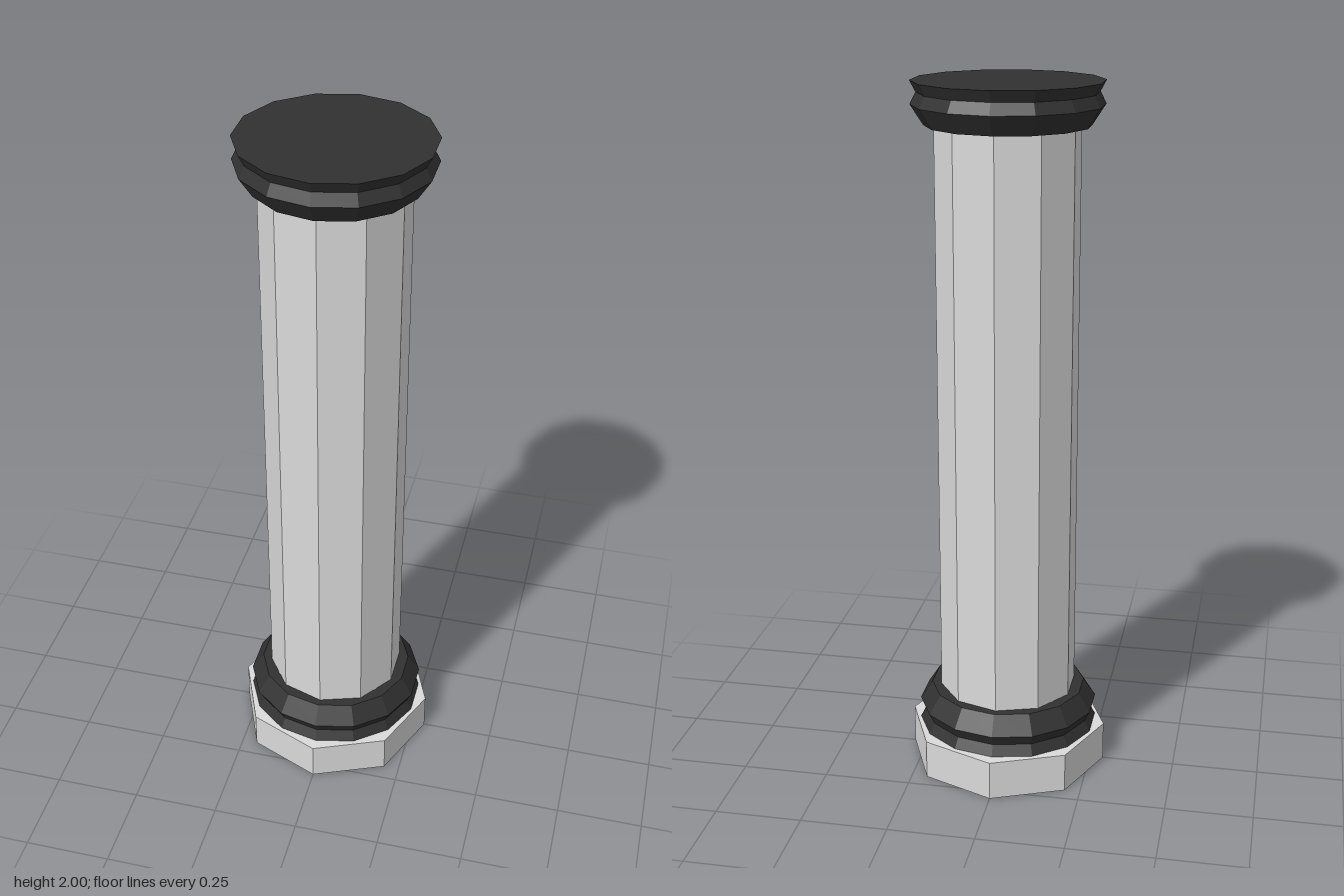
import * as THREE from 'three';

const stone = new THREE.MeshStandardMaterial({ name: 'paleStone', color: 0xdadada, flatShading: true, side: THREE.DoubleSide });
const dark = new THREE.MeshStandardMaterial({ name: 'darkMoulding', color: 0x313131, flatShading: true });

const BASE_TOP = 0.115;
const RING_HEIGHT = 0.118;

function part(name, geometry, material, y = 0) {
  const mesh = new THREE.Mesh(geometry, material);
  mesh.name = name;
  mesh.position.y = y;
  return mesh;
}

// Fourteen-sided moulding: narrow neck, bulge, waist, flared rim, flat cap
function mouldingGeometry() {
  const profile = [[0.19, 0], [0.222, 0], [0.257, 0.055], [0.241, 0.087], [0.257, RING_HEIGHT], [0, RING_HEIGHT]];
  const geometry = new THREE.LatheGeometry(profile.map(([r, y]) => new THREE.Vector2(r, y)), 14);
  return geometry.scale(1.02, 1, 1);
}

export function createModel() {
  const column = new THREE.Group();
  column.name = 'column';

  // Octagonal plinth, hollow underneath
  const plinth = new THREE.Group();
  plinth.name = 'plinth';
  plinth.add(
    part('plinthSides', new THREE.CylinderGeometry(0.29, 0.29, BASE_TOP, 8, 1, true), stone, BASE_TOP / 2),
    part('plinthTop', new THREE.CircleGeometry(0.29, 8).rotateX(-Math.PI / 2), stone, BASE_TOP),
  );
  column.add(plinth);

  // Ten-sided shaft
  const bottom = BASE_TOP + 0.01, top = 1.99;
  column.add(part('shaft', new THREE.CylinderGeometry(0.2, 0.2, top - bottom, 10, 1, true), stone, (top + bottom) / 2));

  // Matching mouldings, the lower one upside down
  const moulding = mouldingGeometry();
  column.add(part('topMoulding', moulding, dark, 2 - RING_HEIGHT));
  const lower = part('bottomMoulding', moulding, dark, BASE_TOP + 0.002 + RING_HEIGHT);
  lower.rotation.x = Math.PI;
  column.add(lower);

  return column;
}
